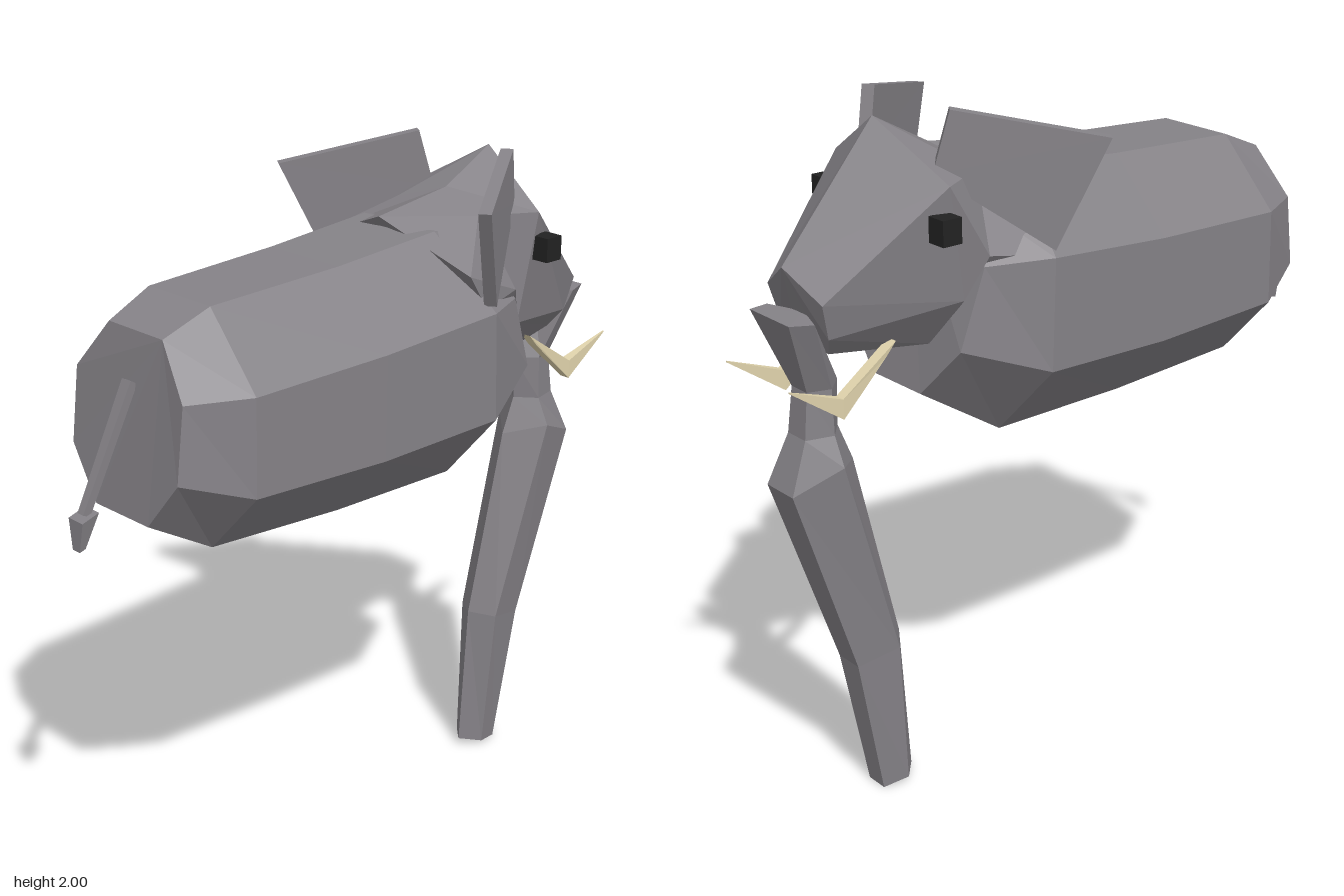
import * as THREE from 'three';

const paint = (color) => new THREE.MeshStandardMaterial({ color, flatShading: true });

// Complete a half outline (x >= 0, top to bottom) into a closed mirrored ring
const mirrorRing = (half) => [
  ...half,
  ...half.filter((p) => p[0] !== 0).reverse().map(([x, y, z]) => [-x, y, z]),
];

// Four-cornered section: half size w in x, half size h along a direction in the yz plane
const square = (x, y, z, w, h, dy, dz) =>
  [[1, 1], [1, -1], [-1, -1], [-1, 1]].map(([a, b]) => [x + a * w, y + b * h * dy, z + b * h * dz]);

// Skin a list of equal rings, cap both ends, and make the faces point outwards
function loft(name, rings, material) {
  const tris = [];
  const n = rings[0].length;
  for (let r = 0; r < rings.length - 1; r++) {
    for (let i = 0; i < n; i++) {
      const j = (i + 1) % n;
      const [a, b, c, d] = [rings[r][i], rings[r][j], rings[r + 1][j], rings[r + 1][i]];
      tris.push([a, b, c], [a, c, d]);
    }
  }
  const last = rings[rings.length - 1];
  for (let i = 1; i < n - 1; i++) {
    tris.push([rings[0][0], rings[0][i + 1], rings[0][i]], [last[0], last[i], last[i + 1]]);
  }
  const v = (p) => new THREE.Vector3(...p);
  const volume = tris.reduce((s, [a, b, c]) => s + v(a).dot(v(b).cross(v(c))), 0);
  if (volume < 0) tris.forEach((t) => t.reverse());
  const geometry = new THREE.BufferGeometry();
  geometry.setAttribute('position', new THREE.Float32BufferAttribute(tris.flat(2), 3));
  geometry.computeVertexNormals();
  const mesh = new THREE.Mesh(geometry, material);
  mesh.name = name;
  return mesh;
}

export function createModel() {
  const model = new THREE.Group();
  model.name = 'elephant';
  const hide = paint(0x858287);
  const ivory = paint(0xe0d3ac);
  const dark = paint(0x222222);

  // Body: octagonal sections from rump to chest
  model.add(loft('body', [
    [[0.11, 1.69, 0.74], [0.22, 1.55, 0.77], [0.22, 1.34, 0.795], [0.11, 1.2, 0.81]],
    [[0.125, 1.75, 0.595], [0.31, 1.555, 0.605], [0.31, 1.28, 0.61], [0.13, 1.09, 0.615]],
    [[0.135, 1.77, 0.16], [0.33, 1.57, 0.165], [0.33, 1.27, 0.17], [0.14, 1.07, 0.17]],
    [[0.14, 1.8, -0.2], [0.345, 1.6, -0.24], [0.345, 1.285, -0.25], [0.14, 1.065, -0.27]],
    [[0.1, 1.76, -0.38], [0.26, 1.59, -0.41], [0.25, 1.37, -0.485], [0.11, 1.22, -0.515]],
  ].map(mirrorRing), hide));

  // Head: neck collar, nape, crown, snout
  model.add(loft('head', [
    [[0, 1.83, -0.12], [0.31, 1.71, -0.17], [0.3, 1.6, -0.25], [0.15, 1.45, -0.4]],
    [[0, 1.87, -0.39], [0.16, 1.82, -0.355], [0.27, 1.62, -0.4], [0.15, 1.42, -0.45]],
    [[0, 1.965, -0.565], [0.25, 1.82, -0.51], [0.23, 1.5, -0.455], [0.12, 1.36, -0.49]],
    [[0, 1.62, -0.86], [0.125, 1.54, -0.825], [0.11, 1.44, -0.8], [0.07, 1.385, -0.775]],
  ].map(mirrorRing), hide));

  // Trunk: ridge at the back, flat front, narrow below the mouth
  model.add(loft('trunk', [
    [[0, 1.49, -0.8], [0.11, 1.49, -0.84], [0.09, 1.495, -0.905]],
    [[0, 1.28, -0.705], [0.055, 1.28, -0.76], [0.035, 1.28, -0.825]],
    [[0, 1.15, -0.71], [0.06, 1.15, -0.76], [0.04, 1.15, -0.84]],
    [[0, 1.04, -0.665], [0.1, 1.07, -0.76], [0.06, 1.01, -0.9]],
    [[0, 0.47, -0.53], [0.072, 0.46, -0.58], [0.045, 0.43, -0.705]],
    [[0, 0.02, -0.5], [0.055, 0.015, -0.55], [0.035, 0, -0.625]],
  ].map(mirrorRing), hide));

  for (const s of [1, -1]) {
    const side = s > 0 ? 'left' : 'right';

    // Ear: thin slanted plate
    const corners = [[0.41, 1.915, -0.11], [0.175, 1.998, -0.45], [0.15, 1.83, -0.49], [0.33, 1.62, -0.23]];
    const face = (t) => corners.map(([x, y, z]) => [s * (x + 0.82 * t), y, z - 0.57 * t]);
    model.add(loft(side + 'Ear', [face(-0.018), face(0.018)], hide));

    // Eye
    const eye = new THREE.Mesh(new THREE.BoxGeometry(0.06, 0.07, 0.06), dark);
    eye.name = side + 'Eye';
    eye.position.set(s * 0.26, 1.715, -0.535);
    model.add(eye);

    // Tusk: bent, tapering to a point
    model.add(loft(side + 'Tusk', [
      square(s * 0.125, 1.385, -0.63, 0.018, 0.025, 0.75, 0.65),
      square(s * 0.135, 1.26, -0.79, 0.016, 0.028, 1, 0),
      square(s * 0.147, 1.345, -0.95, 0.002, 0.002, 1, 0),
    ], ivory));
  }

  // Tail and its tuft
  model.add(loft('tail', [
    square(0, 1.56, 0.765, 0.018, 0.012, 0.45, 0.9),
    square(0, 1.235, 0.93, 0.012, 0.012, 0.45, 0.9),
  ], hide));
  model.add(loft('tailTuft', [
    square(0, 1.235, 0.93, 0.03, 0.028, 0.3, -0.95),
    square(0, 1.145, 0.95, 0.015, 0.01, 0.3, -0.95),
  ], hide));

  return model;
}
